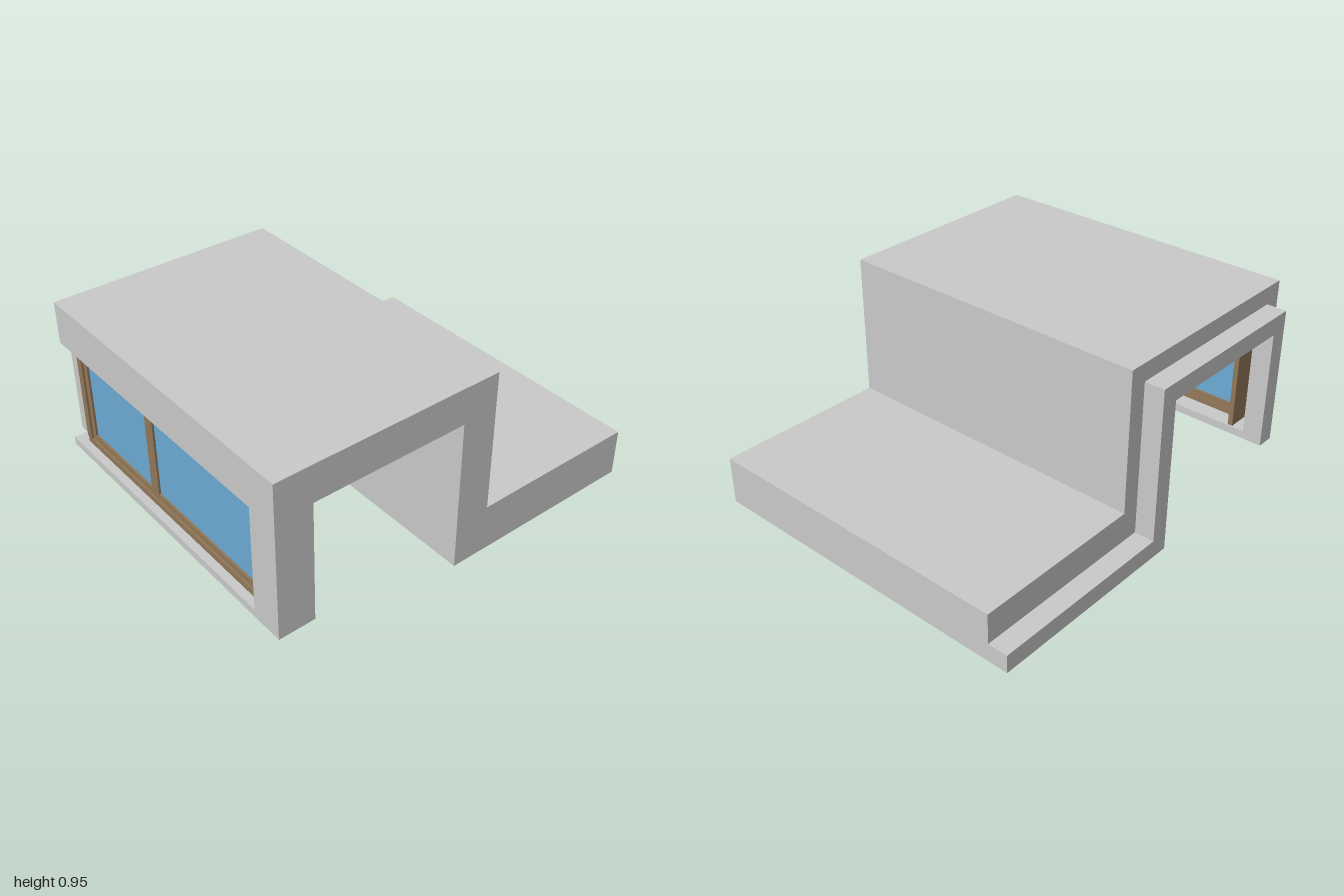
import * as THREE from 'three';

const wallMat = new THREE.MeshStandardMaterial({ color: 0xcccccc });
const woodMat = new THREE.MeshStandardMaterial({ color: 0x927859 });
const glassMat = new THREE.MeshStandardMaterial({ color: 0x6cacd6 });

// Box given by its limits along each axis
function box(parent, name, mat, [x0, x1], [y0, y1], [z0, z1]) {
  const mesh = new THREE.Mesh(new THREE.BoxGeometry(x1 - x0, y1 - y0, z1 - z0), mat);
  mesh.position.set((x0 + x1) / 2, (y0 + y1) / 2, (z0 + z1) / 2);
  mesh.name = name;
  parent.add(mesh);
}

// Profile in x and y, extruded from z0 to z1
function slab(parent, name, points, z0, z1) {
  const shape = new THREE.Shape(points.map(([x, y]) => new THREE.Vector2(x, y)));
  const geo = new THREE.ExtrudeGeometry(shape, { depth: z1 - z0, bevelEnabled: false });
  geo.translate(0, 0, z0);
  const mesh = new THREE.Mesh(geo, wallMat);
  mesh.name = name;
  parent.add(mesh);
}

// Rectangular frame of four bars in the plane of the window
function frame(parent, name, xs, [y0, y1], [z0, z1], w) {
  const g = new THREE.Group();
  g.name = name;
  box(g, 'bottomRail', woodMat, xs, [y0, y0 + w], [z0, z1]);
  box(g, 'topRail', woodMat, xs, [y1 - w, y1], [z0, z1]);
  for (const z of [z0, z1 - w]) box(g, 'stile', woodMat, xs, [y0 + w, y1 - w], [z, z + w]);
  parent.add(g);
}

export function createModel() {
  const model = new THREE.Group();
  model.name = 'roomSection';
  const back = -0.76, front = 0.86, openTop = 0.74, openBottom = 0.21, openFront = 0.7;

  // Stepped floor, wall and roof
  slab(model, 'stepAndRoof', [
    [-0.05, 0], [1, 0], [1, 0.24], [0.13, 0.24], [0.13, 0.95], [-1, 0.95],
    [-1, openTop], [-0.82, openTop], [-0.82, 0.77], [-0.05, 0.77],
  ], back, front);

  // Window wall around the opening, which runs out to the back edge
  box(model, 'windowPier', wallMat, [-1, -0.82], [0.17, openTop], [openFront, front]);
  box(model, 'windowSill', wallMat, [-1, -0.82], [0.17, openBottom], [back, openFront]);

  // Thinner connecting lip at the back
  slab(model, 'backLip', [
    [-0.05, 0], [1, 0], [1, 0.09], [0.04, 0.09], [0.04, 0.86], [-0.91, 0.86],
    [-0.91, 0.17], [-0.82, 0.17], [-0.82, 0.77], [-0.05, 0.77],
  ], -0.86, back);

  // Window with two unequal sashes
  const win = new THREE.Group();
  win.name = 'window';
  model.add(win);
  frame(win, 'outerFrame', [-0.96, -0.91], [openBottom, openTop], [-0.69, openFront], 0.03);
  for (const zs of [[-0.66, -0.11], [-0.11, 0.67]]) {
    frame(win, 'sash', [-0.95, -0.915], [0.24, 0.71], zs, 0.03);
    box(win, 'glass', glassMat, [-0.94, -0.925], [0.27, 0.68], [zs[0] + 0.03, zs[1] - 0.03]);
  }
  // Deep end board that reaches into the room
  box(win, 'endBoard', woodMat, [-0.955, -0.8], [0.23, 0.71], [-0.71, -0.685]);

  return model;
}
